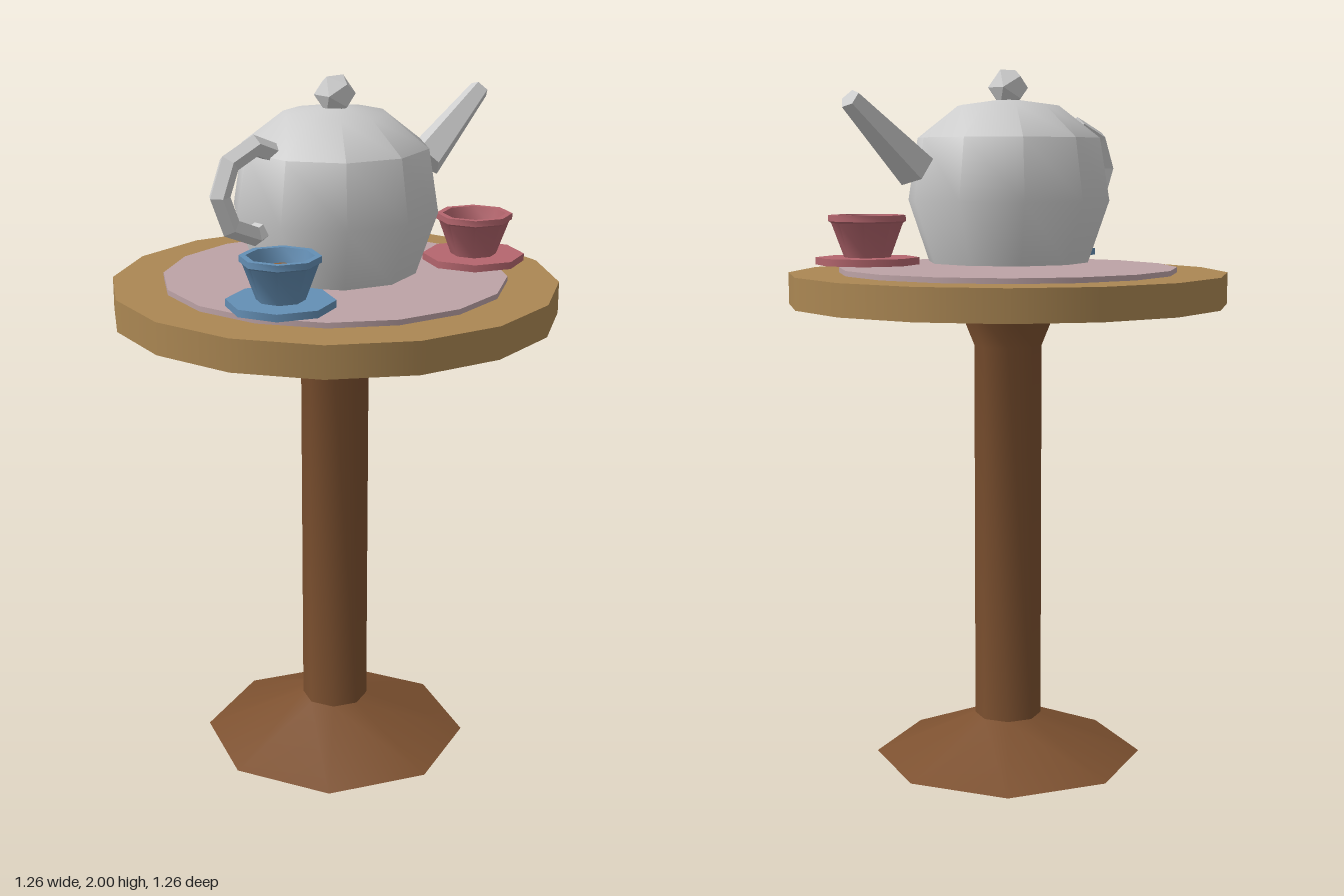
import * as THREE from 'three';
import { toCreasedNormals } from 'three/addons/utils/BufferGeometryUtils.js';

const CREASE = THREE.MathUtils.degToRad(50);

function mat(name, color, options = {}) {
  const m = new THREE.MeshStandardMaterial({ color, ...options });
  m.name = name;
  return m;
}

export function createModel() {
  const root = new THREE.Group();
  root.name = 'teaTable';

  const darkWood = mat('dark wood', 0x7d5130, { side: THREE.DoubleSide });
  const lightWood = mat('light wood', 0xab8753);
  const pink = mat('dusty pink cloth', 0xbda3a6);
  const silver = mat('silver', 0xcdcdcd);
  const silverFlat = mat('silver', 0xcdcdcd, { flatShading: true });
  const blue = mat('blue china', 0x648fb5);
  const red = mat('red china', 0xb5666e);
  const tea = mat('tea', 0x8e5f36);

  function add(parent, name, geometry, material, x = 0, y = 0, z = 0) {
    const mesh = new THREE.Mesh(geometry, material);
    mesh.name = name;
    mesh.position.set(x, y, z);
    parent.add(mesh);
    return mesh;
  }

  // Lathe from [radius, height] pairs, listed so that the outside faces out
  const turned = (points, sides) => toCreasedNormals(
    new THREE.LatheGeometry(points.map(([r, y]) => new THREE.Vector2(r, y)), sides), CREASE);

  // Upright disc standing between two heights
  const disc = (parent, name, r, y0, y1, sides, material) =>
    add(parent, name, new THREE.CylinderGeometry(r, r, y1 - y0, sides), material, 0, (y0 + y1) / 2, 0);

  // Table: hollow pedestal, top and cloth
  add(root, 'pedestal', turned([[0.39, 0], [0.097, 0.12], [0.097, 1.22], [0.145, 1.34]], 8), darkWood);
  disc(root, 'tableTop', 0.63, 1.34, 1.43, 16, lightWood);
  disc(root, 'tableCloth', 0.485, 1.43, 1.445, 16, pink);

  // Teapot
  const pot = new THREE.Group();
  pot.name = 'teapot';
  root.add(pot);
  add(pot, 'potBody', turned([
    [0, 1.46], [0.23, 1.46], [0.29, 1.635], [0.262, 1.81], [0.145, 1.9], [0, 1.92],
  ], 10), silver);
  add(pot, 'lidKnob', new THREE.IcosahedronGeometry(0.058, 0), silverFlat, 0, 1.95, 0);

  // Handle: open ring whose ends run into the body
  const handle = add(pot, 'potHandle',
    new THREE.TorusGeometry(0.12, 0.03, 5, 6, Math.PI * 1.5), silverFlat, -0.29, 1.724, 0);
  handle.rotation.z = Math.PI / 4;

  // Spout: tapered, leaning outwards
  const from = new THREE.Vector3(0.352, 1.724, 0);
  const to = new THREE.Vector3(0.58, 1.905, 0);
  const axis = to.clone().sub(from);
  const spout = add(pot, 'spout',
    new THREE.CylinderGeometry(0.03, 0.058, axis.length(), 5), silverFlat);
  spout.position.copy(from).lerp(to, 0.5);
  spout.rotation.z = Math.atan2(axis.y, axis.x) - Math.PI / 2;

  // Cups on saucers
  const cupShape = turned([
    [0, 1.48], [0.065, 1.48], [0.1, 1.575], [0.108, 1.58], [0.108, 1.597], [0.09, 1.597], [0.076, 1.545],
  ], 8);
  for (const [name, x, china] of [['rightCup', -0.365, blue], ['leftCup', 0.365, red]]) {
    const set = new THREE.Group();
    set.name = name;
    set.position.set(x, 0, 0.19);
    root.add(set);
    disc(set, 'saucer', 0.145, 1.46, 1.48, 8, china);
    add(set, 'cup', cupShape, china);
    disc(set, 'teaSurface', 0.08, 1.55, 1.558, 8, tea);
  }

  return root;
}
